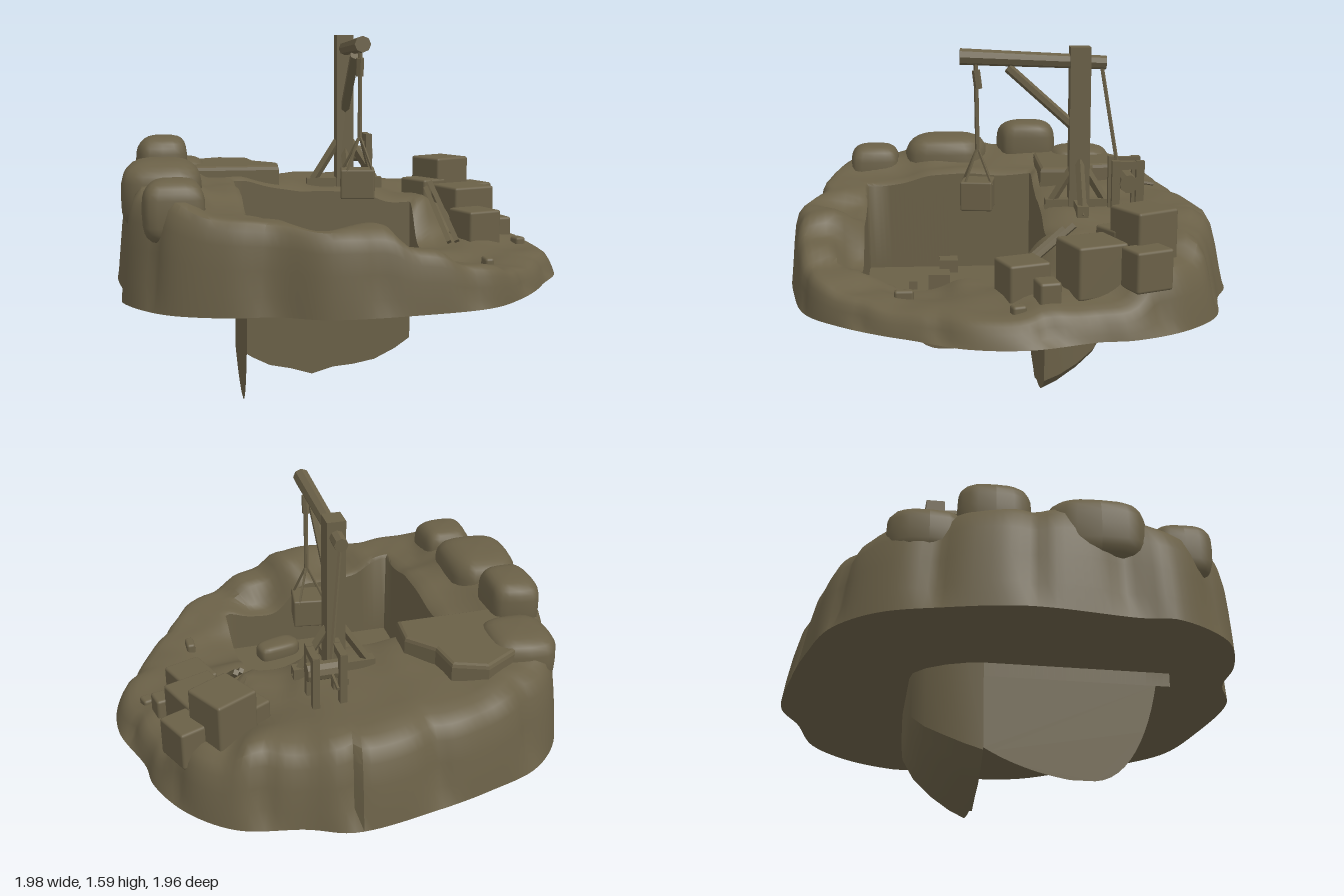
import * as THREE from 'three';
import { toCreasedNormals } from 'three/addons/utils/BufferGeometryUtils.js';
import { RoundedBoxGeometry } from 'three/addons/geometries/RoundedBoxGeometry.js';

const stone = new THREE.MeshStandardMaterial({ color: 0x6a6047, side: THREE.DoubleSide });
stone.name = 'olive stone';

const BASE = 0.53, FLOOR = 0.47;
const PIT = { x: -0.045, z: 0.24, hx: 0.415, hz: 0.395 };

// Outline of the rock, seen from above (x, z)
const OUTLINE = [
  [0.17, -0.98], [0.35, -0.91], [0.62, -0.84], [0.8, -0.67], [0.9, -0.45], [0.91, -0.32], [0.99, -0.03],
  [0.96, 0.21], [0.84, 0.42], [0.78, 0.53], [0.66, 0.7], [0.49, 0.86], [0.19, 0.94], [-0.18, 0.97],
  [-0.37, 0.89], [-0.56, 0.88], [-0.8, 0.78], [-0.96, 0.53], [-0.95, 0.4], [-0.99, -0.05], [-0.93, -0.37],
  [-0.85, -0.61], [-0.69, -0.78], [-0.45, -0.87], [-0.21, -0.93],
];

// Spot heights of the rock top (x, z, height)
const SPOTS = [
  [-0.8, 0.25, 1.04], [-0.8, -0.17, 1.02], [-0.75, 0.6, 0.98], [-0.55, 0.2, 0.95], [-0.55, 0.6, 0.9],
  [-0.5, -0.1, 0.95], [-0.4, 0.8, 0.89], [0, 0.83, 0.87], [0.2, 0.8, 0.78], [-0.2, 0.66, 0.8],
  [0.2, 0.66, 0.64], [0.4, 0.75, 0.69], [0.6, 0.6, 0.64], [0.75, 0.4, 0.63], [0.45, 0.4, 0.6],
  [0.45, 0.1, 0.64], [0.85, 0.1, 0.64], [0.85, -0.3, 0.66], [0.6, -0.1, 0.68], [0.55, -0.35, 0.77],
  [0.4, -0.25, 0.85], [0.7, -0.65, 0.8], [0.45, -0.75, 0.87], [0.1, -0.35, 0.89], [0.1, -0.8, 0.9],
  [-0.3, -0.75, 0.91], [-0.6, -0.65, 0.94], [-0.75, -0.45, 0.97], [0, -0.2, 0.89], [-0.3, -0.3, 0.92],
];

function heightAt(x, z) {
  let sum = 0, total = 0;
  for (const [sx, sz, h] of SPOTS) {
    const w = 1 / (((x - sx) ** 2 + (z - sz) ** 2) ** 2 + 1e-5);
    sum += w * h;
    total += w;
  }
  return sum / total + 0.008 * Math.sin(17 * x + 5 * z) * Math.sin(15 * z - 4 * x);
}

// Skin over rings of points that share one count
function loft(rings, crease) {
  const n = rings[0].length, index = [];
  for (let j = 0; j < rings.length - 1; j++) {
    for (let i = 0; i < n; i++) {
      const a = j * n + i, b = j * n + (i + 1) % n;
      index.push(a, b, a + n, b, b + n, a + n);
    }
  }
  const geo = new THREE.BufferGeometry();
  geo.setAttribute('position', new THREE.Float32BufferAttribute(rings.flat(2), 3));
  geo.setIndex(index);
  return toCreasedNormals(geo, crease);
}

function rockGeometry() {
  const curve = new THREE.CatmullRomCurve3(OUTLINE.map(([x, z]) => new THREE.Vector3(x, 0, z)), true);
  const edge = curve.getSpacedPoints(176).slice(0, -1);
  // [share of the way from pit to outline, share of the height]
  const profile = [[0, -1], [0, 0.96], [0.05, 1], [0.15, 1], [0.27, 1], [0.4, 1], [0.52, 1], [0.64, 1], [0.75, 1],
    [0.83, 0.98], [0.89, 0.9], [0.93, 0.75], [0.96, 0.5], [0.985, 0.22], [1, 0], [0, 0]];
  const rings = profile.map(([t, k], j) => edge.map((p, i) => {
    const dx = p.x - PIT.x, dz = p.z - PIT.z;
    const s = Math.min(PIT.hx / Math.abs(dx), PIT.hz / Math.abs(dz));
    // Buttresses scallop the cliff
    const dent = j > 7 && j < 14 ? 0.05 * (1 - Math.abs(Math.sin(i * Math.PI * 15 / 176 + 0.4 * Math.sin(i * 0.1)))) ** 2 : 0;
    const f = s + (1 - s) * (t - dent);
    const x = PIT.x + dx * f, z = PIT.z + dz * f;
    const u = s + (1 - s) * Math.min(t, 0.85);
    const top = heightAt(PIT.x + dx * u, PIT.z + dz * u);
    return [x, k < 0 ? FLOOR : BASE + (top - BASE) * k, z];
  }));
  return loft(rings, 0.75);
}

// Rounded mass hanging behind the pit wall
function lumpGeometry() {
  const front = [[-0.46, 0.53], [-0.46, 0.15], [-0.38, 0.1], [-0.3, 0.06], [-0.2, 0.04], [-0.1, 0.01], [0, 0.04],
    [0.1, 0.05], [0.2, 0.07], [0.3, 0.12], [0.37, 0.17], [0.37, 0.53]];
  const steps = [[-0.15, 0, 0], [-0.15, 1, 1], [-0.22, 0.97, 0.93], [-0.3, 0.9, 0.82], [-0.38, 0.78, 0.68],
    [-0.43, 0.64, 0.52], [-0.44, 0.5, 0.4], [-0.44, 0, 0]];
  return loft(steps.map(([z, kx, ky]) => front.map(([x, y]) =>
    [-0.045 + (x + 0.045) * kx, BASE - (BASE - y) * ky, z])), 0.6);
}

// Squarish boulder: a sphere pushed towards a box
function boulderGeometry(w, h, d, seed) {
  const geo = new THREE.SphereGeometry(1, 20, 14);
  const pos = geo.attributes.position;
  const push = (v) => Math.sign(v) * Math.abs(v) ** 0.6;
  for (let i = 0; i < pos.count; i++) {
    const x = pos.getX(i), y = pos.getY(i), z = pos.getZ(i);
    const k = 1 + 0.06 * Math.sin(4 * x + seed) * Math.cos(3 * z + seed);
    pos.setXYZ(i, push(x) * w / 2 * k, push(y) * h / 2, push(z) * d / 2 * k);
  }
  geo.computeVertexNormals();
  return geo;
}

export function createModel() {
  const model = new THREE.Group();
  const add = (name, geo, x = 0, y = 0, z = 0, parent = model) => {
    const mesh = new THREE.Mesh(geo, stone);
    mesh.name = name;
    mesh.position.set(x, y, z);
    parent.add(mesh);
    return mesh;
  };
  const group = (name) => {
    const g = new THREE.Group();
    g.name = name;
    model.add(g);
    return g;
  };
  // Round or many-sided bar between two points
  const bar = (name, a, b, r, parent, sides = 6, r2 = r) => {
    const p = new THREE.Vector3(...a), q = new THREE.Vector3(...b);
    const geo = toCreasedNormals(new THREE.CylinderGeometry(r2, r, p.distanceTo(q), sides), 0.5);
    const mesh = add(name, geo, 0, 0, 0, parent);
    mesh.position.copy(p).lerp(q, 0.5);
    mesh.quaternion.setFromUnitVectors(new THREE.Vector3(0, 1, 0), q.sub(p).normalize());
  };

  // Rock and pit
  add('rock', rockGeometry());
  add('pitFloor', new THREE.PlaneGeometry(PIT.hx * 2, PIT.hz * 2).rotateX(-Math.PI / 2), PIT.x, FLOOR, PIT.z);
  add('undersideLump', lumpGeometry());

  // Thin side wall that hangs below the pit
  const flap = new THREE.Shape();
  flap.moveTo(-0.57, 0.47);
  flap.bezierCurveTo(-0.53, 0.25, -0.44, 0.05, -0.3, 0.04);
  flap.lineTo(-0.2, 0.04);
  flap.quadraticCurveTo(0, 0.07, 0.15, 0.16);
  flap.lineTo(0.15, 0.47);
  add('hangingSideWall', new THREE.ShapeGeometry(flap).rotateY(Math.PI / 2), -0.46);

  // Boulders on the high side: x, z, top, width, height, depth
  [[-0.78, -0.16, 1.15, 0.23, 0.26, 0.29], [-0.79, 0.25, 1.085, 0.33, 0.3, 0.41], [-0.75, 0.61, 1.04, 0.25, 0.26, 0.25],
    [-0.72, -0.42, 1.03, 0.3, 0.24, 0.32]]
    .forEach(([x, z, top, w, h, d], i) => add('boulder', boulderGeometry(w, h, d, i * 2), x, top - h / 2, z));

  // Flat ledge behind the pit
  const ledge = new THREE.Shape([[-0.68, 0.2], [-0.26, 0.2], [-0.25, 0.33], [-0.35, 0.44], [-0.37, 0.58], [-0.5, 0.63], [-0.72, 0.5]]
    .map(([x, y]) => new THREE.Vector2(x, y)));
  const slab = new THREE.ExtrudeGeometry(ledge, { depth: 0.12, bevelSize: 0.015, bevelThickness: 0.02, bevelSegments: 2 });
  add('ledge', slab.rotateX(-Math.PI / 2), 0, 0.86, 0);

  // Cut blocks: x, z, bottom, top, width, depth, turn
  const blocks = group('cutBlocks');
  [[0.6, -0.53, 0.76, 1.0, 0.2, 0.2, 0.5], [0.66, -0.31, 0.66, 0.88, 0.22, 0.22, 0.35], [0.76, -0.52, 0.7, 0.87, 0.13, 0.17, 0.4],
    [0.5, -0.46, 0.75, 0.9, 0.14, 0.18, 0.5], [0.65, -0.03, 0.62, 0.8, 0.17, 0.18, 0.35], [0.78, -0.12, 0.6, 0.75, 0.11, 0.09, 0.2],
    [0.85, 0, 0.6, 0.67, 0.05, 0.06, 0.3], [0.58, 0.45, 0.58, 0.66, 0.04, 0.08, 0]]
    .forEach(([x, z, lo, hi, w, d, turn]) => {
      add('cutBlock', new RoundedBoxGeometry(w, hi - lo, d, 2, 0.012), x, (lo + hi) / 2, z, blocks).rotation.y = turn;
    });

  // Leaning planks
  bar('plank', [0.49, 0.9, -0.26], [0.55, 0.66, 0.04], 0.016, model, 4);
  bar('plank', [0.46, 0.88, -0.22], [0.51, 0.66, 0.05], 0.014, model, 4);

  // Rubble on the pit floor: x, z, size, height
  [[-0.39, 0.25, 0.09, 0.06], [-0.07, 0.3, 0.1, 0.08], [-0.08, 0.42, 0.04, 0.04]].forEach(([x, z, s, h]) =>
    add('rubble', new THREE.BoxGeometry(s, h, s), x, FLOOR + h / 2, z));
  add('rubble', boulderGeometry(0.22, 0.1, 0.12, 3), 0.13, FLOOR + 0.02, 0.54).rotation.y = 0.3;

  // Crane
  const crane = group('crane');
  const X = 0.08, Z = -0.325;
  add('post', new THREE.BoxGeometry(0.08, 0.76, 0.09), X, 1.22, Z, crane);
  bar('boom', [X, 1.53, -0.44], [X, 1.56, 0.2], 0.03, crane, 8, 0.036);
  bar('boomBrace', [X, 1.51, -0.01], [X, 1.25, -0.3], 0.022, crane, 6);
  for (const s of [-1, 1]) {
    bar('footStrut', [X + s * 0.17, 0.88, Z], [X + s * 0.03, 1.1, Z], 0.02, crane, 4);
    bar('footStrut', [X, 0.88, Z + s * 0.14], [X, 1.06, Z + s * 0.03], 0.02, crane, 4);
  }
  add('footBeam', new THREE.BoxGeometry(0.36, 0.05, 0.05), X, 0.9, Z, crane);
  add('footBeam', new THREE.BoxGeometry(0.05, 0.05, 0.3), X, 0.9, Z, crane);
  bar('backRope', [X, 1.52, -0.42], [0.14, 1.02, -0.5], 0.009, crane, 5);

  // Hanging block with its slings
  bar('hookRope', [X, 1.53, 0.13], [X, 1.14, 0.125], 0.01, crane, 6);
  bar('hook', [X, 1.5, 0.13], [X, 1.42, 0.12], 0.018, crane, 6);
  for (const [dx, dz] of [[-1, -1], [-1, 1], [1, -1], [1, 1]]) {
    bar('sling', [X, 1.16, 0.125], [0.07 + dx * 0.06, 1.0, 0.125 + dz * 0.06], 0.006, crane, 4);
  }
  add('hangingBlock', new RoundedBoxGeometry(0.15, 0.13, 0.14, 2, 0.008), 0.07, 0.95, 0.125, crane).rotation.y = -0.15;

  // Winch
  const winch = group('winch');
  for (const x of [0.11, 0.225]) {
    for (const z of [-0.575, -0.47]) add('winchPost', new THREE.BoxGeometry(0.03, 0.24, 0.035), x, 1.0, z, winch);
    add('winchRail', new THREE.BoxGeometry(0.03, 0.035, 0.14), x, 1.1, -0.525, winch);
  }
  bar('winchDrum', [0.09, 1.02, -0.525], [0.25, 1.02, -0.525], 0.04, winch, 10);
  bar('winchHandle', [0.15, 1.0, -0.65], [0.15, 1.02, -0.53], 0.008, winch, 5);
  return model;
}
